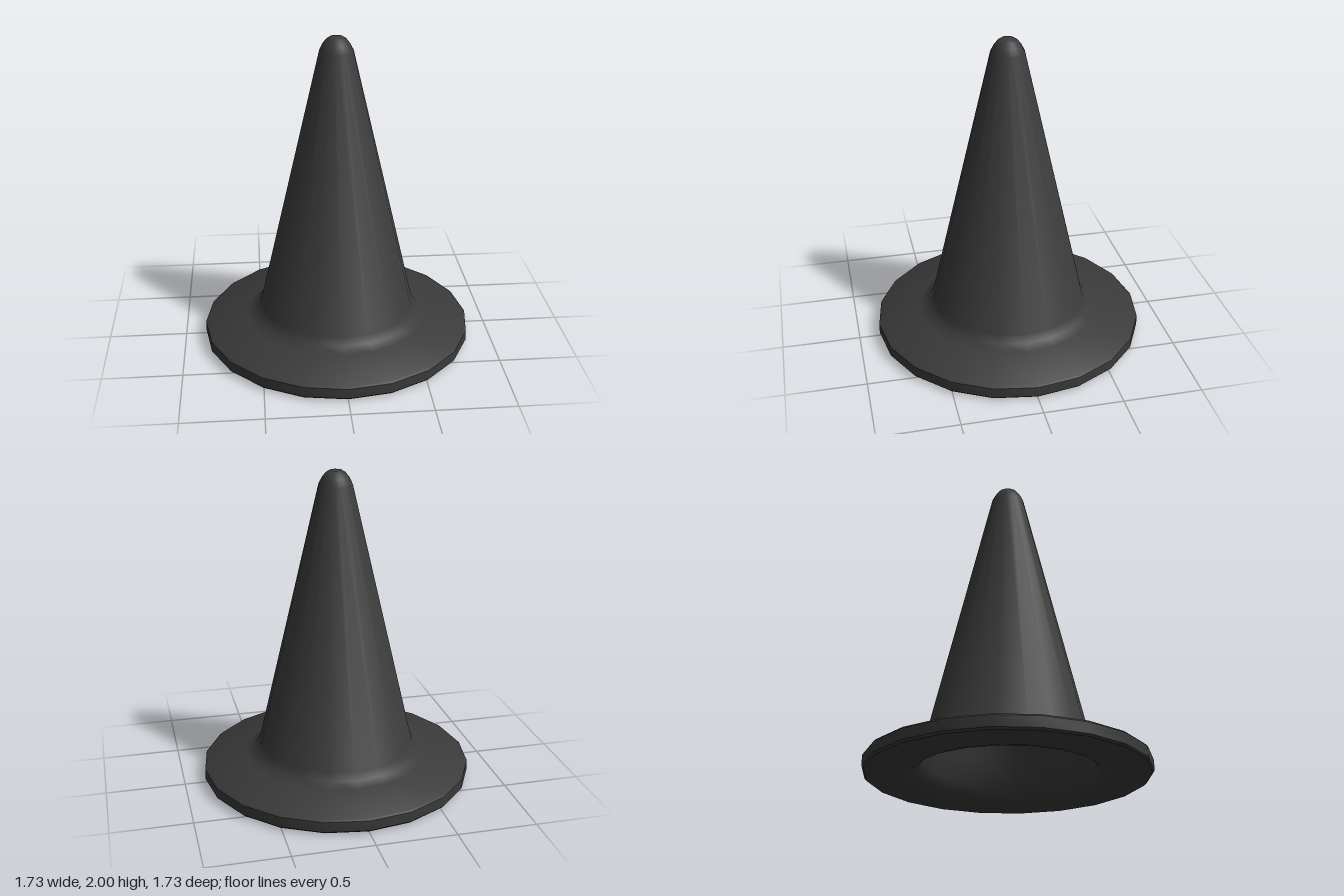
import * as THREE from 'three';
import { toCreasedNormals } from 'three/addons/utils/BufferGeometryUtils.js';

const SIDES = 20;

// Closed profiles as [radius, height], running so that the faces look out of the rubber.
const hollow = [
  [0, 1.94], [0.05, 1.92], [0.07, 1.88], [0.47, 0.22],
  [0.51, 0.1], [0.545, 0.04], [0.58, 0.012], [0.63, 0],
];
const baseRim = [[0.855, 0.008], [0.867, 0.02], [0.867, 0.085], [0.855, 0.097]];
const flare = [[0.59, 0.145], [0.535, 0.175], [0.5, 0.225]];
const tip = [[0.105, 1.915], [0.085, 1.955], [0.062, 1.985], [0.038, 2], [0, 2]];

export function createModel() {
  const group = new THREE.Group();
  group.name = 'trafficCone';

  // One revolved skin: inner hollow, underside, rim, flared foot, tall cone, rounded tip
  const profile = [...hollow, ...baseRim, ...flare, ...tip].map(([r, y]) => new THREE.Vector2(r, y));
  const geometry = toCreasedNormals(new THREE.LatheGeometry(profile, SIDES), 0.7);
  const cone = new THREE.Mesh(geometry, new THREE.MeshStandardMaterial({ color: 0x3a3a3a }));
  cone.name = 'coneBody';
  group.add(cone);

  return group;
}
